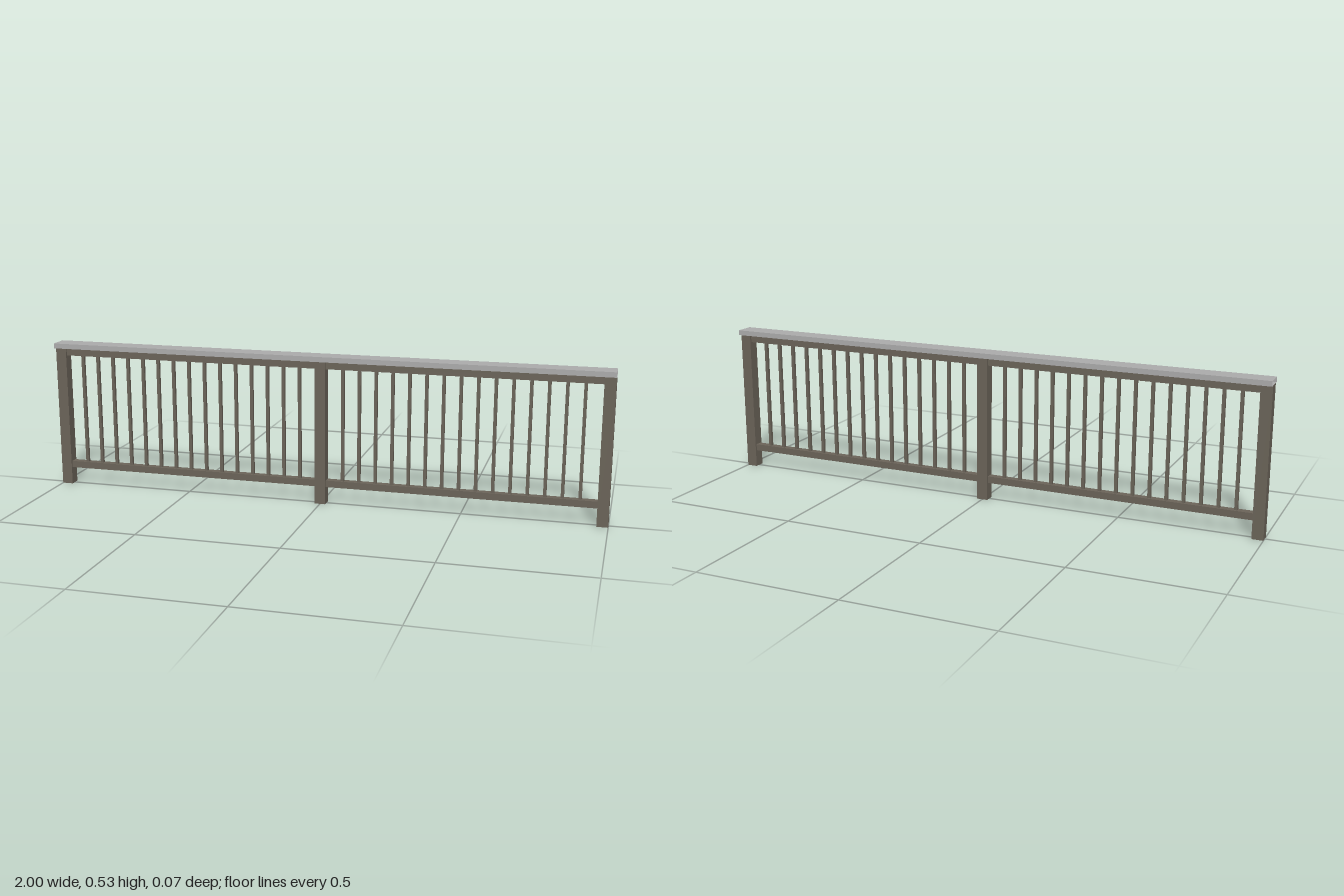
import * as THREE from 'three';

const brown = new THREE.MeshStandardMaterial({ color: 0x6b6459, side: THREE.DoubleSide });
brown.name = 'bronze brown';
const grey = new THREE.MeshStandardMaterial({ color: 0xacacac, side: THREE.DoubleSide });
grey.name = 'light grey';

// Rectangular hollow section: a box whose two end faces along one axis are left open
function tube(name, axis, [x0, x1], [y0, y1], depth, material) {
  const geometry = new THREE.BoxGeometry(x1 - x0, y1 - y0, depth);
  const firstEnd = axis === 'x' ? 0 : 12; // index of the pair of end faces
  const index = Array.from(geometry.index.array);
  index.splice(firstEnd, 12);
  geometry.setIndex(index);
  geometry.clearGroups();
  const mesh = new THREE.Mesh(geometry, material);
  mesh.name = name;
  mesh.position.set((x0 + x1) / 2, (y0 + y1) / 2, 0);
  return mesh;
}

export function createModel() {
  const railing = new THREE.Group();
  railing.name = 'railing';

  const postWidth = 0.039;
  const half = postWidth / 2;
  const postTop = 0.515;

  // Posts at both ends and in the middle
  for (const x of [-1 + half, 0, 1 - half]) {
    railing.add(tube('post', 'y', [x - half, x + half], [0, postTop], postWidth, brown));
  }

  // Two mirrored bays, each with rails and evenly spaced balusters
  const bayStart = half;
  const bayEnd = 1 - postWidth;
  const count = 15;
  for (const side of [-1, 1]) {
    const bay = new THREE.Group();
    bay.name = side < 0 ? 'rightBay' : 'leftBay';
    const span = side < 0 ? [-bayEnd, -bayStart] : [bayStart, bayEnd];
    bay.add(tube('bottomRail', 'x', span, [0.062, 0.086], 0.026, brown));
    bay.add(tube('topRail', 'x', span, [0.487, 0.514], 0.026, brown));
    for (let i = 1; i <= count; i++) {
      const x = span[0] + ((span[1] - span[0]) * i) / (count + 1);
      bay.add(tube('baluster', 'y', [x - 0.0055, x + 0.0055], [0.086, 0.487], 0.011, brown));
    }
    railing.add(bay);
  }

  // Wide handrail cap running over the posts
  railing.add(tube('handrailCap', 'x', [-1, 1], [postTop, 0.533], 0.07, grey));

  return railing;
}
